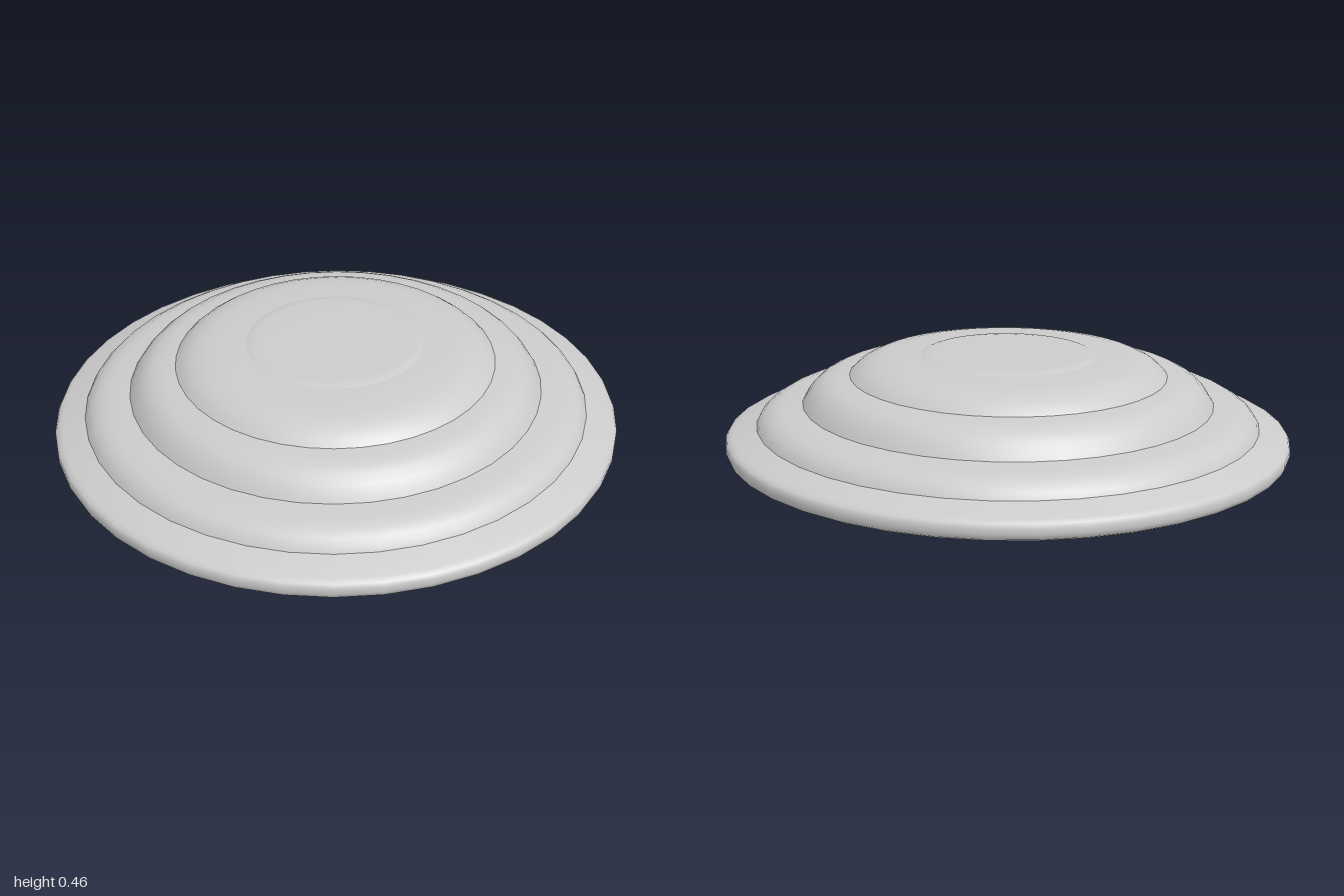
import * as THREE from 'three';

const SIDES = 40;
const material = new THREE.MeshStandardMaterial({ color: 0xcccccc, side: THREE.DoubleSide });

// Turns a profile of [radius, height] pairs, listed from bottom to top
function turned(name, profile) {
  const points = profile.map(([r, y]) => new THREE.Vector2(r, y));
  const mesh = new THREE.Mesh(new THREE.LatheGeometry(points, SIDES), material);
  mesh.name = name;
  return mesh;
}

export function createModel() {
  const model = new THREE.Group();
  model.name = 'steppedDisc';

  const body = new THREE.Group();
  body.name = 'body';

  body.add(
    // Flat underside
    turned('underside', [[0, 0], [0.978, 0]]),
    // Thick rounded rim and its gently sloping top
    turned('rim', [
      [0.978, 0], [0.993, 0.009], [0.999, 0.025], [0.999, 0.045],
      [0.992, 0.058], [0.975, 0.067], [0.93, 0.081], [0.89, 0.094],
    ]),
    // Three rounded tiers, each ending on a shallow ledge
    turned('lowerTier', [
      [0.89, 0.094], [0.88, 0.113], [0.862, 0.132], [0.835, 0.148],
      [0.8, 0.157], [0.76, 0.16], [0.728, 0.164],
    ]),
    turned('middleTier', [
      [0.728, 0.164], [0.715, 0.186], [0.695, 0.212], [0.67, 0.234],
      [0.64, 0.249], [0.605, 0.256], [0.562, 0.26],
    ]),
    turned('upperTier', [
      [0.562, 0.26], [0.545, 0.277], [0.52, 0.295], [0.485, 0.31],
      [0.44, 0.319], [0.38, 0.323], [0.31, 0.326],
    ]),
    // Slightly raised centre
    turned('topPlate', [[0.31, 0.326], [0.295, 0.331], [0.27, 0.334], [0.15, 0.335], [0, 0.336]]),
    // Blunt conical foot below the centre
    turned('foot', [
      [0, -0.121], [0.045, -0.119], [0.066, -0.111], [0.085, -0.094],
      [0.11, -0.058], [0.135, -0.023], [0.152, 0],
    ]),
  );

  // The disc rests with a very slight lean
  body.position.y = 0.121;
  body.rotation.z = 0.009;
  model.add(body);
  return model;
}
